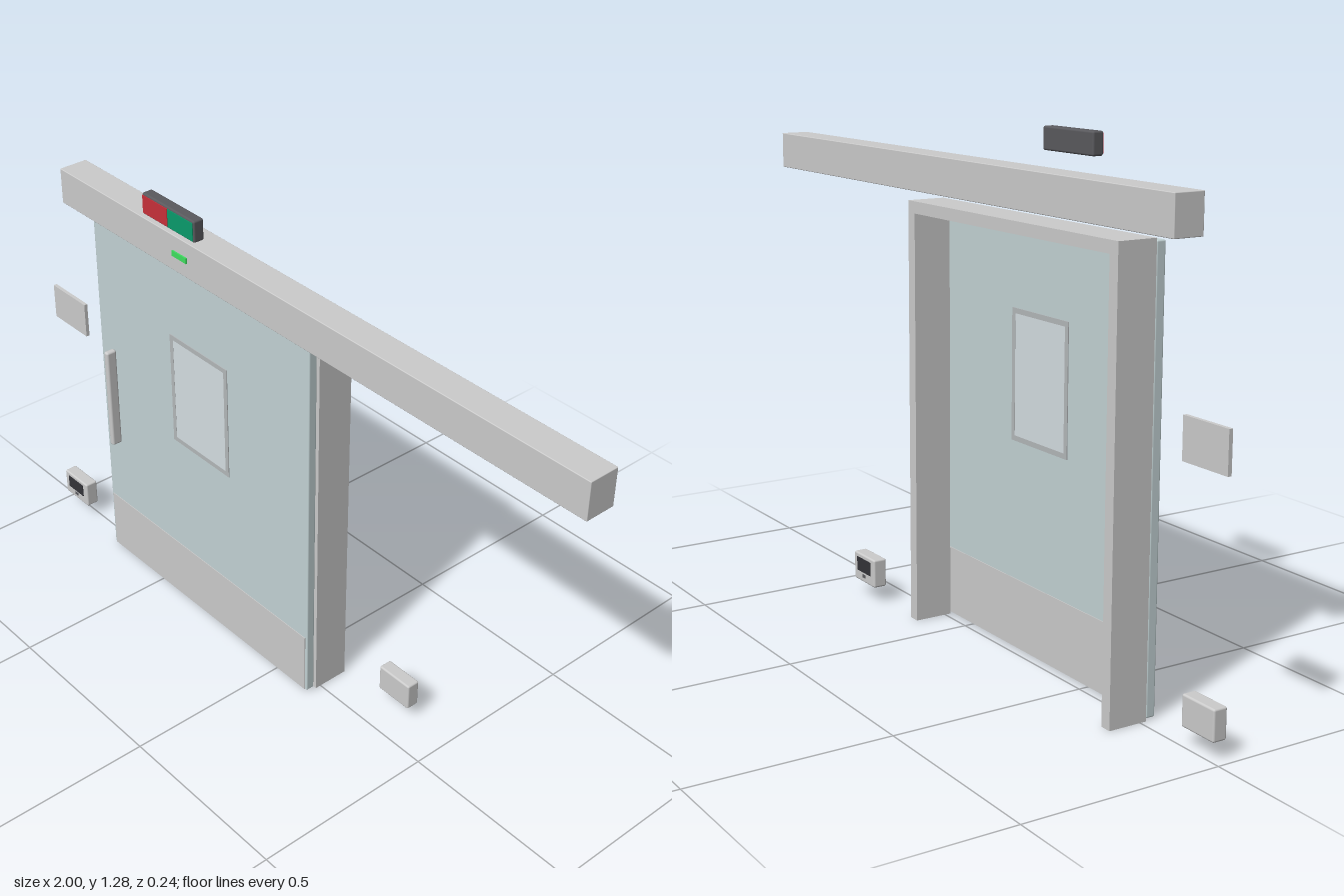
import * as THREE from 'three';
import { RoundedBoxGeometry } from 'three/addons/geometries/RoundedBoxGeometry.js';

const mat = (color = 0xcccccc) => new THREE.MeshStandardMaterial({ color });
const grey = mat();
const dark = mat(0x333338);
const charcoal = mat(0x5a5a5e);
const panel = mat(0xc3d3d5);
const red = mat(0xc8303a);
const green = mat(0x0a9c6c);
const led = mat(0x3fe060);

// Box given by its limits on each axis; r > 0 rounds the edges.
function box(parent, name, [x0, x1], [y0, y1], [z0, z1], material = grey, r = 0) {
  const w = x1 - x0, h = y1 - y0, d = z1 - z0;
  const geo = r ? new RoundedBoxGeometry(w, h, d, 3, r) : new THREE.BoxGeometry(w, h, d);
  const mesh = new THREE.Mesh(geo, material);
  mesh.name = name;
  mesh.position.set((x0 + x1) / 2, (y0 + y1) / 2, (z0 + z1) / 2);
  parent.add(mesh);
  return mesh;
}

function part(parent, name) {
  const g = new THREE.Group();
  g.name = name;
  parent.add(g);
  return g;
}

// Flat shape from x/y corners.
function polygon(points) {
  return new THREE.Shape(points.map(([x, y]) => new THREE.Vector2(x, y)));
}

function extrude(parent, name, shape, z0, z1, material = grey) {
  const geo = new THREE.ExtrudeGeometry(shape, { depth: z1 - z0, bevelEnabled: false });
  const mesh = new THREE.Mesh(geo, material);
  mesh.name = name;
  mesh.position.z = z0;
  parent.add(mesh);
}

// Wall switch facing +z, with a dark sensor window and a small button.
function wallSwitch(parent, name) {
  const g = part(parent, name);
  box(g, 'switchBody', [-0.054, 0.054], [-0.038, 0.038], [0, 0.037], grey, 0.005);
  box(g, 'sensorWindow', [-0.035, 0.035], [-0.01, 0.027], [0.035, 0.039], dark);
  box(g, 'switchButton', [-0.007, 0.007], [-0.024, -0.016], [0.035, 0.039], charcoal);
  return g;
}

export function createModel() {
  const model = new THREE.Group();
  model.name = 'slidingDoor';

  // Door frame: two jambs and a lintel, open at the floor
  const L = -0.732, R = 0.128, T = 1.085, t = 0.03;
  extrude(model, 'doorFrame', polygon([
    [L, 0], [L + t, 0], [L + t, T - t], [R - t, T - t],
    [R - t, 0], [R, 0], [R, T], [L, T],
  ]), -0.085, 0.016);

  // Sliding leaf
  const leaf = part(model, 'doorLeaf');
  const zBack = 0.019, zFront = 0.044;
  box(leaf, 'doorPanel', [-0.728, 0.123], [0.004, 1.079], [zBack, zFront], panel, 0.004);

  // Kick plates, window frames and glass on both faces
  const wx = [-0.414, -0.184], wy = [0.53, 0.855], b = 0.013;
  for (const [side, z0, z1] of [['front', zFront - 0.001, zFront + 0.002], ['back', zBack - 0.002, zBack + 0.001]]) {
    box(leaf, side + 'KickPlate', [-0.72, 0.116], [0.006, 0.182], [z0, z1]);
    const outline = polygon([[wx[0], wy[0]], [wx[1], wy[0]], [wx[1], wy[1]], [wx[0], wy[1]]]);
    outline.holes.push(polygon([
      [wx[0] + b, wy[0] + b], [wx[0] + b, wy[1] - b],
      [wx[1] - b, wy[1] - b], [wx[1] - b, wy[0] + b],
    ]));
    extrude(leaf, side + 'WindowFrame', outline, z0, z1, mat(0xb4b8ba));
    box(leaf, side + 'WindowGlass', [wx[0] + b, wx[1] - b], [wy[0] + b, wy[1] - b],
      [z0 + 0.0005, z1 - 0.0005], mat(0xd5dee2));
  }

  // Pull handle
  box(leaf, 'handle', [-0.677, -0.66], [0.39, 0.69], [zFront, 0.075], grey, 0.006);

  // Track housing with status light
  box(model, 'trackHousing', [-0.8, 1], [1.09, 1.187], [0.006, 0.086], grey, 0.002);
  box(model, 'statusLight', [-0.33, -0.275], [1.131, 1.146], [0.084, 0.09], led);

  // Illuminated two-colour sign above the track
  const sign = part(model, 'signalBox');
  box(sign, 'signalHousing', [-0.403, -0.203], [1.225, 1.282], [0.087, 0.117], charcoal, 0.005);
  box(sign, 'redLamp', [-0.399, -0.304], [1.23, 1.277], [0.115, 0.119], red);
  box(sign, 'greenLamp', [-0.302, -0.207], [1.23, 1.277], [0.115, 0.119], green);

  // Wall plate and the two switches, one on each side of the wall
  box(model, 'wallPlate', [-1, -0.853], [0.63, 0.73], [0, 0.01]);
  wallSwitch(model, 'frontSwitch').position.set(-0.926, 0.081, 0.001);
  const rear = wallSwitch(model, 'backSwitch');
  rear.position.set(0.323, 0.081, -0.078);
  rear.rotation.y = Math.PI;

  return model;
}
